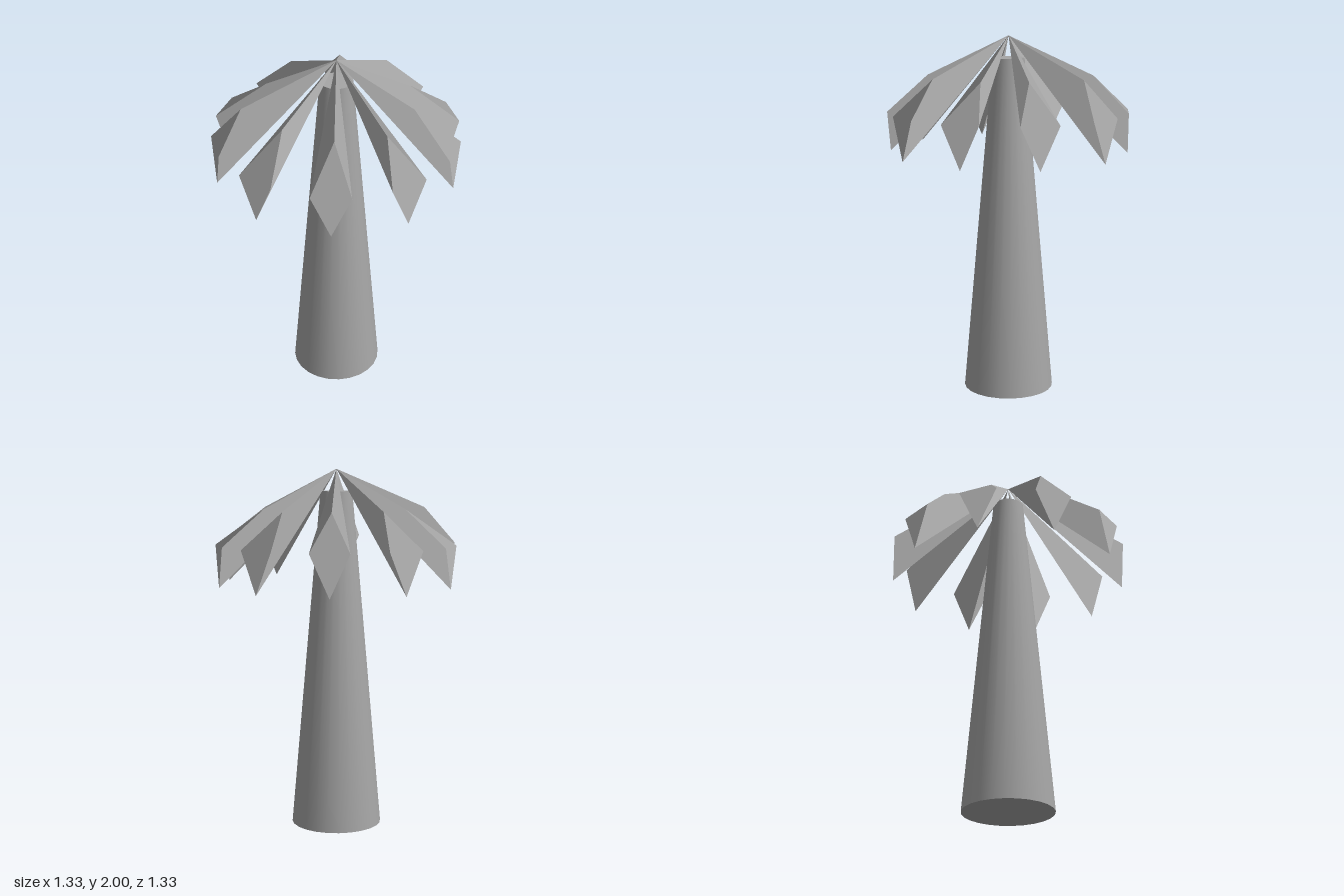
import * as THREE from 'three';

const material = new THREE.MeshStandardMaterial({ color: 0xa6a6a6 });

// Point from radius, angle in degrees and height
function polar(r, deg, y) {
  const a = THREE.MathUtils.degToRad(deg);
  return new THREE.Vector3(r * Math.cos(a), y, r * Math.sin(a));
}

// Faceted palm leaf: crown point, raised bend, two shoulders and a hanging tip
function leafGeometry(start, bendRadius, bendAngle) {
  const crown = new THREE.Vector3(0, 2, 0);
  const bend = polar(bendRadius, start + bendAngle, 1.785);
  const a = polar(0.667, start, 1.59);
  const b = polar(0.667, start + 18, 1.59);
  const tip = polar(0.66, start + 9, 1.36);
  const points = [];
  const normals = [];

  // Two triangles shaded as one soft surface; weight favours the first
  function surface(first, second, weight) {
    const normal = new THREE.Triangle(...first).getNormal(new THREE.Vector3())
      .multiplyScalar(weight)
      .add(new THREE.Triangle(...second).getNormal(new THREE.Vector3()))
      .normalize();
    for (const p of [...first, ...second]) {
      points.push(p);
      normals.push(...normal.toArray());
    }
  }
  surface([crown, bend, a], [crown, a, tip], 2); // one side
  surface([crown, b, bend], [crown, tip, b], 2); // other side
  surface([bend, b, a], [a, b, tip], 1);         // outer end

  const geometry = new THREE.BufferGeometry().setFromPoints(points);
  geometry.setAttribute('normal', new THREE.Float32BufferAttribute(normals, 3));
  return geometry;
}

export function createModel() {
  const model = new THREE.Group();
  model.name = 'palmTree';

  // Tapered trunk
  const trunk = new THREE.Mesh(new THREE.CylinderGeometry(0.088, 0.252, 1.88, 24), material);
  trunk.name = 'trunk';
  trunk.position.y = 0.94;
  model.add(trunk);

  // Ten leaves around the crown, each with a slightly different bend [radius, angle]
  const crown = new THREE.Group();
  crown.name = 'leafCrown';
  const bends = [
    [0.425, 7], [0.47, 10], [0.445, 8], [0.43, 10], [0.51, 10],
    [0.4, 8.5], [0.463, 10], [0.465, 9], [0.49, 5], [0.41, 8],
  ];
  bends.forEach(([radius, angle], i) => {
    const leaf = new THREE.Mesh(leafGeometry(i * 36, radius, angle), material);
    leaf.name = `leaf${i + 1}`;
    crown.add(leaf);
  });
  model.add(crown);

  return model;
}
